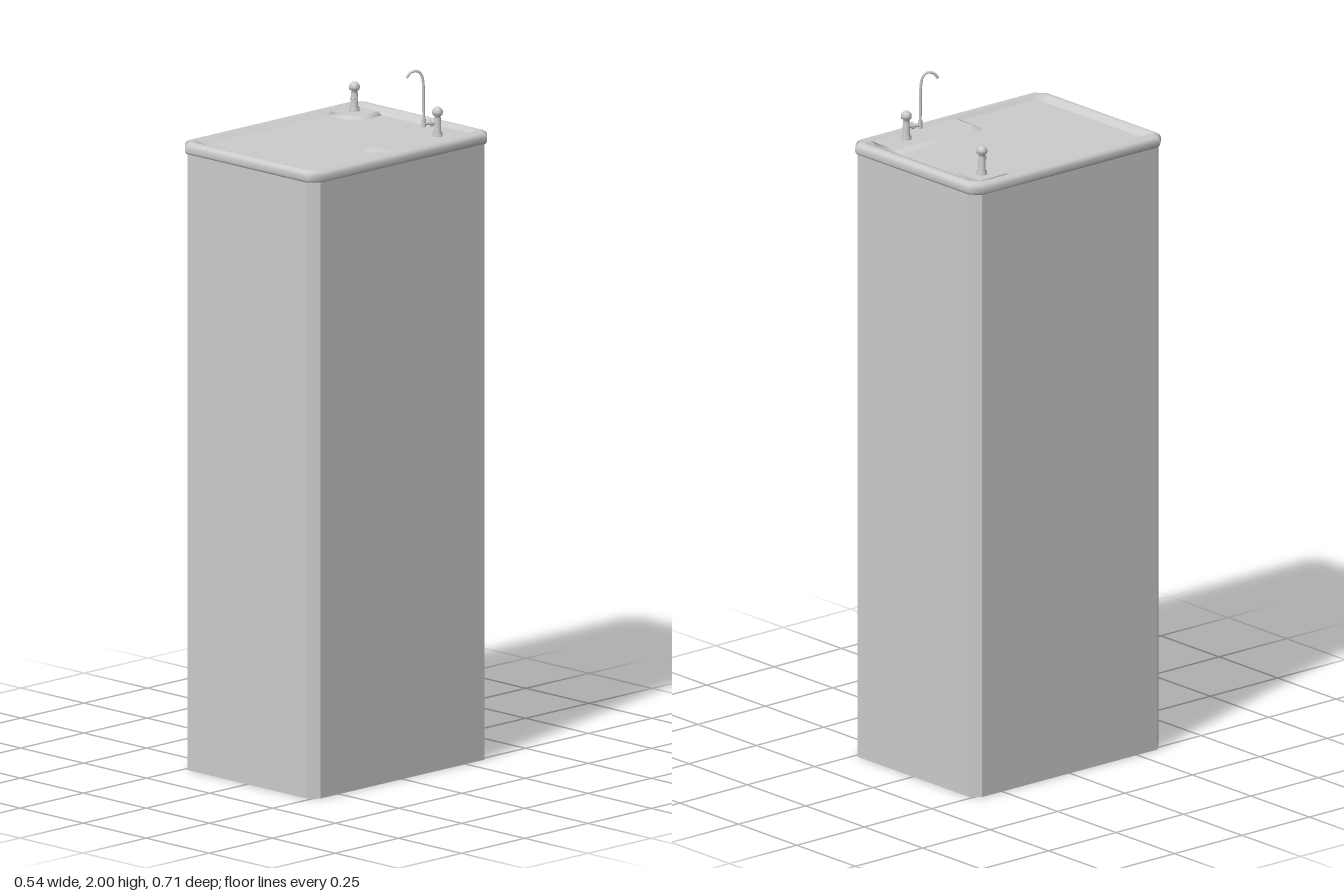
import * as THREE from 'three';

const steel = new THREE.MeshStandardMaterial({ color: 0xcccccc, side: THREE.DoubleSide });

function addMesh(parent, name, geometry) {
  const mesh = new THREE.Mesh(geometry, steel);
  mesh.name = name;
  parent.add(mesh);
  return mesh;
}

// Chamfered rectangle in plan, counter-clockwise from above
function octagon(x0, x1, z0, z1, c, y) {
  return [
    [x0 + c, y, z1], [x1 - c, y, z1], [x1, y, z1 - c], [x1, y, z0 + c],
    [x1 - c, y, z0], [x0 + c, y, z0], [x0, y, z0 + c], [x0, y, z1 - c],
  ];
}

// Skin a stack of equal-length loops, capping the ends on request
function loft(loops, { capBottom = false, capTop = false, flat = false } = {}) {
  const n = loops[0].length;
  const pos = loops.flat(2);
  const index = [];
  for (let k = 0; k < loops.length - 1; k++) {
    for (let i = 0; i < n; i++) {
      const a = k * n + i, b = k * n + (i + 1) % n;
      index.push(a, b, b + n, a, b + n, a + n);
    }
  }
  const cap = (loop, up) => {
    const base = pos.length / 3;
    pos.push(...loop.flat());
    for (let i = 1; i < n - 1; i++) {
      index.push(base, base + (up ? i : i + 1), base + (up ? i + 1 : i));
    }
  };
  if (capBottom) cap(loops[0], false);
  if (capTop) cap(loops[loops.length - 1], true);
  let geo = new THREE.BufferGeometry();
  geo.setAttribute('position', new THREE.Float32BufferAttribute(pos, 3));
  geo.setIndex(index);
  if (flat) geo = geo.toNonIndexed();
  geo.computeVertexNormals();
  return geo;
}

const FLOOR = 1.796;

// Raised pad: footprint on the tray floor, smaller outline on top
function pad(foot, top, height) {
  return loft([
    foot.map(([x, z]) => [x, FLOOR - 0.002, z]),
    top.map(([x, z]) => [x, FLOOR + height, z]),
  ], { capTop: true });
}

// Tap valve whose outlet points along local +z
function makeTap(name, x, z, angle) {
  const tap = new THREE.Group();
  tap.name = name;
  tap.position.set(x, FLOOR, z);
  tap.rotation.y = angle;
  const profile = [
    [0.015, 0], [0.015, 0.016], [0.011, 0.022], [0.010, 0.060], [0.008, 0.066],
    [0.015, 0.071], [0.016, 0.080], [0.012, 0.087], [0.006, 0.092], [0, 0.093],
  ].map(([r, y]) => new THREE.Vector2(r, y));
  addMesh(tap, 'valveBody', new THREE.LatheGeometry(profile, 10));
  const outlet = addMesh(tap, 'outlet', new THREE.CylinderGeometry(0.006, 0.007, 0.04, 8));
  outlet.rotation.x = Math.PI / 2;
  outlet.position.set(0, 0.048, 0.023);
  const collar = addMesh(tap, 'collar', new THREE.CylinderGeometry(0.011, 0.011, 0.006, 8));
  collar.rotation.x = Math.PI / 2;
  collar.position.set(0, 0.048, 0.018);
  return tap;
}

export function createModel() {
  const model = new THREE.Group();
  model.name = 'waterCooler';

  // Cabinet with chamfered corners
  addMesh(model, 'cabinet', loft([
    octagon(-0.264, 0.264, -0.352, 0.352, 0.027, 0),
    octagon(-0.264, 0.264, -0.352, 0.352, 0.027, 1.785),
  ], { capBottom: true, flat: true }));

  // Rounded rim of the top tray
  const rim = [
    [0.012, 1.775], [0.003, 1.777], [0, 1.783], [0, 1.796], [0.003, 1.803],
    [0.009, 1.808], [0.017, 1.810], [0.025, 1.808],
  ].map(([d, y]) => octagon(-0.27 + d, 0.27 - d, -0.356 + d, 0.356 - d, 0.027, y));
  rim.push(octagon(-0.225, 0.235, -0.302, 0.312, 0.024, FLOOR));
  addMesh(model, 'trayRim', loft(rim));
  const floorLoop = octagon(-0.225, 0.235, -0.302, 0.312, 0.024, FLOOR);
  addMesh(model, 'trayFloor', loft([floorLoop, floorLoop], { capTop: true }));

  // Raised pads under the two taps
  addMesh(model, 'leftTapPad', pad(
    [[-0.225, -0.185], [-0.15, -0.19], [-0.11, -0.222], [-0.118, -0.30], [-0.23, -0.305]],
    [[-0.228, -0.205], [-0.16, -0.21], [-0.135, -0.232], [-0.135, -0.302], [-0.23, -0.305]], 0.009));
  addMesh(model, 'rightTapPad', pad(
    [[0.14, 0.032], [0.236, 0.035], [0.238, -0.30], [0.105, -0.302], [0.11, -0.005]],
    [[0.15, 0.005], [0.236, 0.008], [0.238, -0.30], [0.13, -0.302], [0.132, -0.02]], 0.009));

  // Plain filler tap on the left-hand corner
  model.add(makeTap('fillerTap', -0.188, -0.26, Math.PI / 4.5));

  // Drinking tap with a tall curved spout
  const drinkTap = makeTap('drinkingTap', 0.187, -0.215, -0.48);
  const path = new THREE.CatmullRomCurve3([
    [0.040, 0.046], [0.041, 0.10], [0.042, 0.165], [0.047, 0.188],
    [0.058, 0.200], [0.072, 0.200], [0.083, 0.194], [0.091, 0.182],
  ].map(([z, y]) => new THREE.Vector3(0, y, z)));
  addMesh(drinkTap, 'spout', new THREE.TubeGeometry(path, 28, 0.004, 8));
  const socket = addMesh(drinkTap, 'spoutSocket', new THREE.CylinderGeometry(0.006, 0.007, 0.024, 8));
  socket.position.set(0, 0.050, 0.040);
  model.add(drinkTap);

  return model;
}
